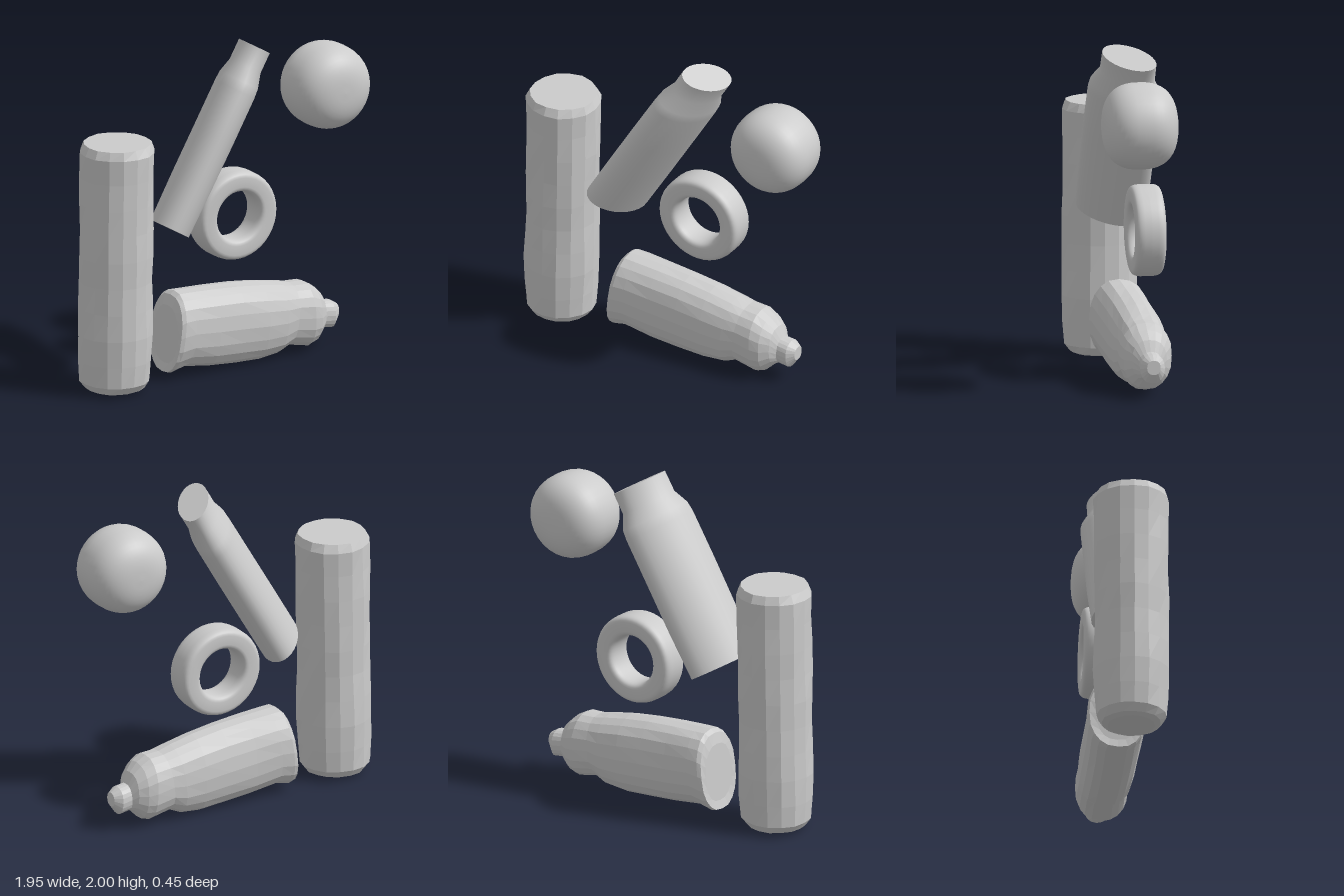
import * as THREE from 'three';
import { toCreasedNormals } from 'three/addons/utils/BufferGeometryUtils.js';

const V = (x, y, z) => new THREE.Vector3(x, y, z);
const smooth = () => new THREE.MeshStandardMaterial({ color: 0xcccccc });
const faceted = () => new THREE.MeshStandardMaterial({ color: 0xcccccc, flatShading: true });

// Skin over elliptical sections {c, u, v}; u x v points along the body. Both ends are capped.
function loft(sections, n, power = 2, dent = 0) {
  const pos = [], idx = [];
  const soft = (s) => Math.sign(s) * Math.abs(s) ** (2 / power);
  sections.forEach(({ c, u, v }, i) => {
    for (let j = 0; j < n; j++) {
      const t = (j / n) * Math.PI * 2;
      const k = 1 + dent * Math.sin(j * 2.4 + i * 1.9) * Math.cos(j * 1.3 - i * 2.7);
      const p = c.clone().addScaledVector(u, soft(Math.cos(t)) * k).addScaledVector(v, soft(Math.sin(t)) * k);
      pos.push(p.x, p.y, p.z);
    }
  });
  const m = sections.length;
  for (let i = 0; i < m - 1; i++) for (let j = 0; j < n; j++) {
    const a = i * n + j, b = i * n + (j + 1) % n;
    idx.push(a, b, b + n, a, b + n, a + n);
  }
  const first = sections[0].c, last = sections[m - 1].c, s = m * n;
  pos.push(first.x, first.y, first.z, last.x, last.y, last.z);
  for (let j = 0; j < n; j++) {
    const k = (j + 1) % n;
    idx.push(s, k, j, s + 1, (m - 1) * n + j, (m - 1) * n + k);
  }
  const g = new THREE.BufferGeometry();
  g.setAttribute('position', new THREE.Float32BufferAttribute(pos, 3));
  g.setIndex(idx);
  g.computeVertexNormals();
  return g;
}

// Superellipse profile turned about the z axis
function turned(radius, hr, hz, from, to, steps, power, segments) {
  const soft = (s) => Math.sign(s) * Math.abs(s) ** (2 / power);
  const pts = [];
  for (let i = 0; i <= steps; i++) {
    const t = from + (to - from) * i / steps;
    pts.push(new THREE.Vector2(Math.max(0, radius + hr * soft(Math.cos(t))), hz * soft(Math.sin(t))));
  }
  return new THREE.LatheGeometry(pts, segments).rotateX(Math.PI / 2);
}

export function createModel() {
  const group = new THREE.Group();
  const add = (name, geometry, material, x = 0, y = 0, z = 0) => {
    const mesh = new THREE.Mesh(geometry, material);
    mesh.name = name;
    mesh.position.set(x, y, z);
    group.add(mesh);
  };

  // Upright roll: [height, radius]
  const roll = [[0.012, 0.14], [0.025, 0.175], [0.07, 0.208], [0.2, 0.217], [0.36, 0.223], [0.52, 0.22],
    [0.68, 0.217], [0.84, 0.22], [1.0, 0.219], [1.16, 0.221], [1.32, 0.22], [1.47, 0.222], [1.52, 0.2]];
  add('uprightRoll', loft(roll.map(([y, r]) => ({
    c: V(-0.757 + 0.012 * y, y, -0.003), u: V(0, 0, r), v: V(r, 0, 0),
  })), 16, 2, 0.025), faceted());

  // Leaning canister with an oblique oval section: [distance, half width, half depth, z]
  const base = V(-0.37, 0.925, 0), along = V(0.513, 0.858, 0), across = V(0.858, -0.513, 0);
  const lean = -0.45;
  const canister = [[0, 0.15, 0.195, -0.005], [0.3, 0.151, 0.205, -0.008], [0.6, 0.151, 0.207, -0.01],
    [0.9, 0.15, 0.207, -0.015], [0.96, 0.147, 0.2, -0.018], [1.05, 0.122, 0.155, -0.02], [1.18, 0.123, 0.153, -0.022]];
  add('leaningCanister', toCreasedNormals(loft(canister.map(([d, w, h, z]) => ({
    c: base.clone().addScaledVector(along, d).setZ(z),
    u: across.clone().multiplyScalar(w * lean).setZ(h),
    v: across.clone().multiplyScalar(w * Math.sqrt(1 - lean * lean)),
  })), 28), 0.6), smooth());

  // Lying bottle: [bottom x, bottom y, top x, top y, half depth, z]
  const bottle = [[-0.38, 0.09, -0.355, 0.44, 0.125, -0.05], [-0.395, 0.04, -0.335, 0.505, 0.165, -0.05],
    [-0.37, 0.035, -0.31, 0.525, 0.173, -0.05], [-0.28, 0.055, -0.24, 0.52, 0.172, -0.05],
    [-0.1, 0.028, -0.08, 0.512, 0.168, -0.05], [0.08, 0.014, 0.1, 0.5, 0.166, -0.052],
    [0.25, 0.006, 0.27, 0.478, 0.165, -0.055], [0.38, 0.02, 0.42, 0.447, 0.16, -0.058],
    [0.46, 0.058, 0.5, 0.428, 0.152, -0.06], [0.6, 0.028, 0.59, 0.425, 0.155, -0.06],
    [0.65, 0.045, 0.65, 0.39, 0.14, -0.06], [0.7, 0.095, 0.7, 0.34, 0.105, -0.065],
    [0.725, 0.11, 0.73, 0.275, 0.07, -0.068], [0.795, 0.1, 0.79, 0.268, 0.072, -0.07],
    [0.835, 0.155, 0.835, 0.24, 0.04, -0.07]];
  add('lyingBottle', loft(bottle.map(([bx, by, tx, ty, h, z]) => ({
    c: V((bx + tx) / 2, (by + ty) / 2, z), u: V((tx - bx) / 2, (ty - by) / 2, 0), v: V(0, 0, h),
  })), 20, 2.3, 0.012), faceted());

  // Ball, squared off towards front and back
  add('ball', turned(0, 0.256, 0.221, -Math.PI / 2, Math.PI / 2, 24, 2.6, 36), smooth(), 0.72, 1.62, -0.005);

  // Thick ring
  add('ring', turned(0.208, 0.0625, 0.09, 0, Math.PI * 2, 32, 4, 40), smooth(), 0.15, 0.895, -0.13);

  return group;
}
